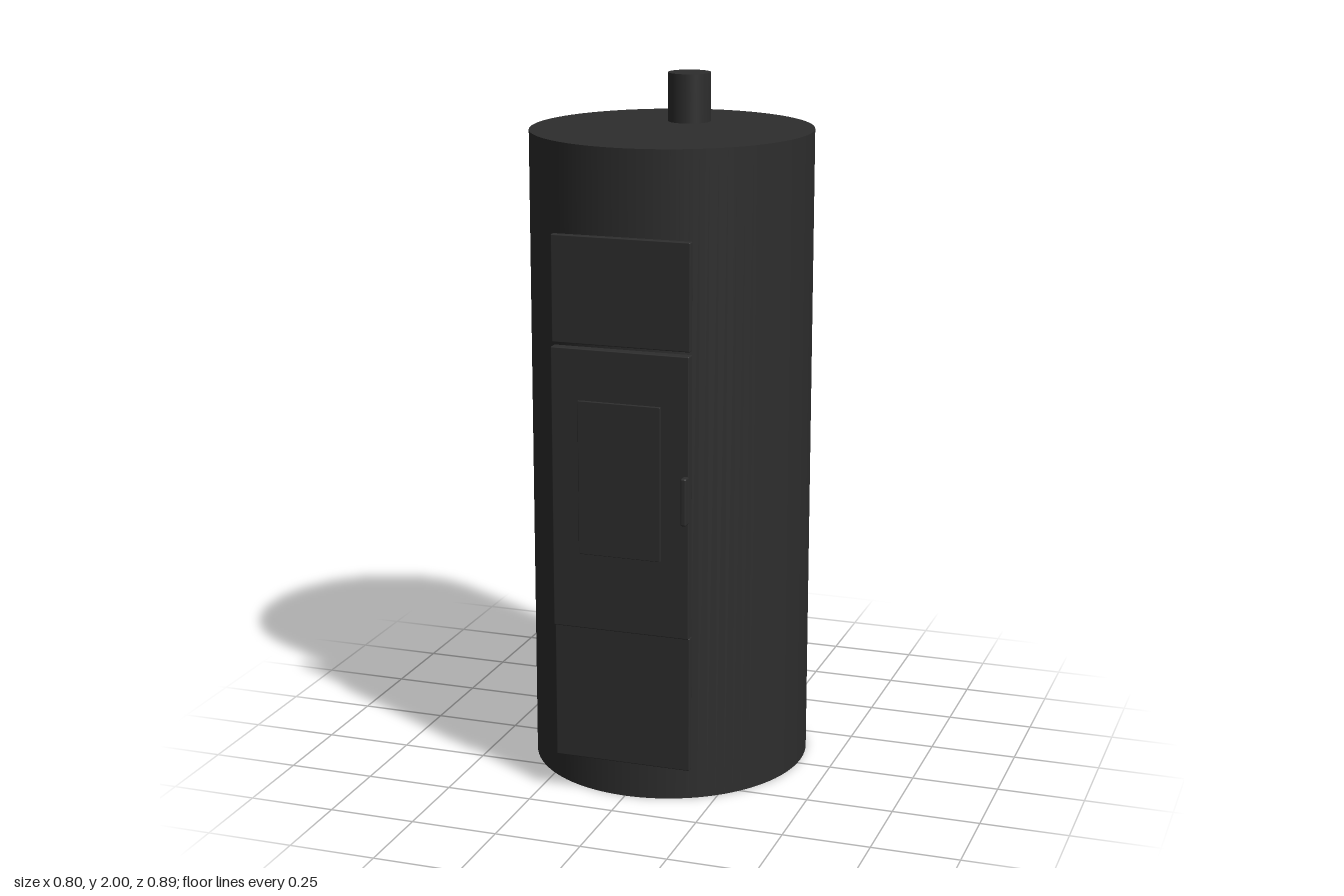
import * as THREE from 'three';
import { RoundedBoxGeometry } from 'three/addons/geometries/RoundedBoxGeometry.js';

export function createModel() {
  const stove = new THREE.Group();
  stove.name = 'cylindricalStove';

  const blackSteel = new THREE.MeshStandardMaterial({ color: 0x2d2d2d });
  blackSteel.name = 'blackSteel';

  const add = (name, geometry, x, y, z) => {
    const mesh = new THREE.Mesh(geometry, blackSteel);
    mesh.name = name;
    mesh.position.set(x, y, z);
    stove.add(mesh);
    return mesh;
  };

  // Plate given by its extents, with slightly softened edges
  const plate = (name, x0, x1, y0, y1, z0, z1, radius = 0.003) =>
    add(name, new RoundedBoxGeometry(x1 - x0, y1 - y0, z1 - z0, 2, radius),
      (x0 + x1) / 2, (y0 + y1) / 2, (z0 + z1) / 2);

  // Slightly oval body, deeper than wide
  const body = add('body', new THREE.CylinderGeometry(1, 1, 1.86, 96), 0, 0.93, -0.0275);
  body.scale.set(0.402, 1, 0.4175);

  // Flue pipe on the top, towards the back
  add('fluePipe', new THREE.CylinderGeometry(0.062, 0.062, 0.16, 48), 0, 1.92, -0.182);

  // Front panels and door
  plate('upperPanel', -0.2, 0.2, 1.32, 1.62, 0.39, 0.41);
  plate('door', -0.2, 0.2, 0.505, 1.31, 0.39, 0.42);
  plate('lowerPanel', -0.2, 0.2, 0.11, 0.505, 0.39, 0.41);
  plate('doorWindow', -0.12, 0.12, 0.725, 1.165, 0.418, 0.427, 0.002);
  plate('doorHandle', 0.183, 0.2, 0.84, 0.975, 0.415, 0.444, 0.005);

  return stove;
}
